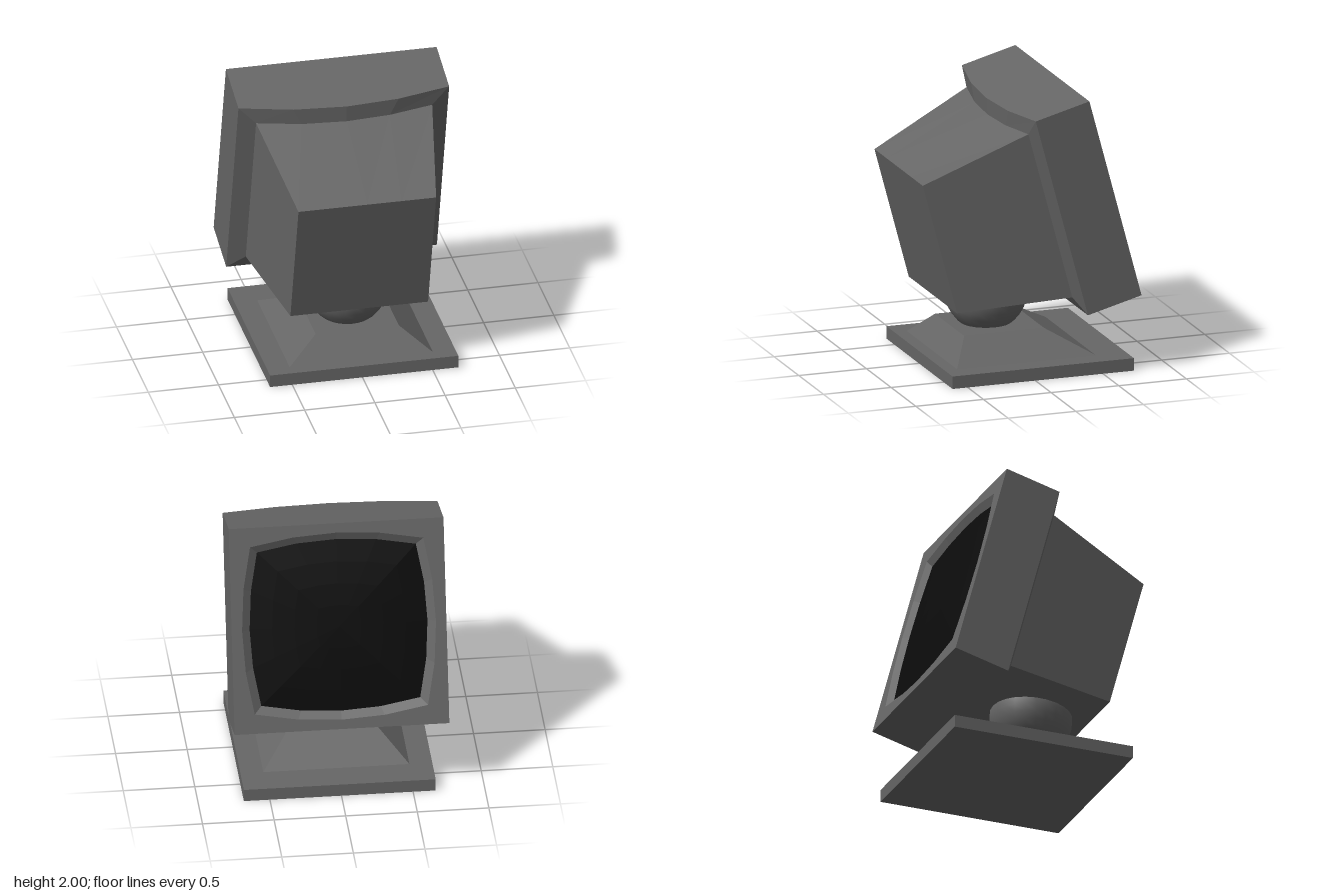
import * as THREE from 'three';

const shell = new THREE.MeshStandardMaterial({ color: 0x666666, flatShading: true });
const ballMaterial = new THREE.MeshStandardMaterial({ color: 0x666666 });
const glass = new THREE.MeshStandardMaterial({ color: 0x0c0c0c });

const STEPS = 4; // segments along each side of a ring

// Square ring, counter-clockwise seen from +z.
// bow pushes the middle of each side outwards, arch pushes the top edge back.
function ring(w, h, z, { bow = 0, arch = 0 } = {}) {
  const points = [];
  const corners = [[1, -1], [1, 1], [-1, 1], [-1, -1]];
  for (let side = 0; side < 4; side++) {
    const [ax, ay] = corners[side];
    const [bx, by] = corners[(side + 1) % 4];
    for (let i = 0; i < STEPS; i++) {
      const t = i / STEPS;
      const x = ax + (bx - ax) * t;
      const y = ay + (by - ay) * t;
      const bulge = 1 - (2 * t - 1) ** 2;
      const outX = ax === bx ? ax * bow * bulge : 0;
      const outY = ay === by ? ay * bow * bulge : 0;
      points.push(new THREE.Vector3(x * w + outX, y * h + outY, z + (side === 1 ? arch * bulge : 0)));
    }
  }
  return points;
}

// Skin a sequence of rings with separate faces
function loft(rings) {
  const points = [];
  for (let r = 0; r < rings.length - 1; r++) {
    const a = rings[r];
    const b = rings[r + 1];
    for (let i = 0; i < a.length; i++) {
      const j = (i + 1) % a.length;
      points.push(a[i], a[j], b[j], a[i], b[j], b[i]);
    }
  }
  const geometry = new THREE.BufferGeometry().setFromPoints(points);
  geometry.computeVertexNormals();
  return geometry;
}

function add(parent, name, geometry, material, x = 0, y = 0, z = 0) {
  const mesh = new THREE.Mesh(geometry, material);
  mesh.name = name;
  mesh.position.set(x, y, z);
  parent.add(mesh);
  return mesh;
}

export function createModel() {
  const model = new THREE.Group();
  model.name = 'monitor';

  // Tilted head; its local origin is the middle of the bezel face
  const head = new THREE.Group();
  head.name = 'head';
  head.position.set(0, 1.28, -0.567);
  head.rotation.x = THREE.MathUtils.degToRad(15);
  model.add(head);

  const screenEdge = ring(0.555, 0.555, 0.034, { bow: 0.066 });
  const rim = ring(0.605, 0.605, 0, { bow: 0.072 });
  const front = ring(0.75, 0.745, 0);
  const back = ring(0.75, 0.745, 0.41, { arch: 0.095 });
  const neck = ring(0.627, 0.627, 0.452, { arch: 0.076 });
  const rear = ring(0.49, 0.49, 1.245);

  // Bezel with its recess and chamfered back
  add(head, 'bezel', loft([screenEdge, rim, front, back, neck]), shell);

  // Tapering tube housing with closed end
  add(head, 'rearHousing', loft([neck, rear, ring(0, 0, 1.245)]), shell);

  // Domed glass
  const dome = [0, 0.25, 0.5, 0.75, 1].map((s) =>
    screenEdge.map((p) => new THREE.Vector3(p.x * s, p.y * s, -0.015 + 0.049 * s * s)));
  add(head, 'screen', loft(dome), glass);

  // Swivel ball
  add(model, 'swivelBall', new THREE.SphereGeometry(0.29, 24, 16), ballMaterial, 0, 0.485, 0.118);

  // Pedestal: a box whose top is narrowed and shifted
  const pedestal = new THREE.BoxGeometry(1.02, 0.17, 1.025);
  const pos = pedestal.attributes.position;
  for (let i = 0; i < pos.count; i++) {
    if (pos.getY(i) > 0) {
      pos.setX(i, pos.getX(i) * 0.58);
      pos.setZ(i, pos.getZ(i) * 0.576 + 0.087);
    }
  }
  pedestal.computeVertexNormals();
  add(model, 'pedestal', pedestal, shell, 0.012, 0.175, 0.008);

  // Base plate
  add(model, 'basePlate', new THREE.BoxGeometry(1.34, 0.09, 1.34), shell, 0.012, 0.045, -0.058);

  return model;
}
